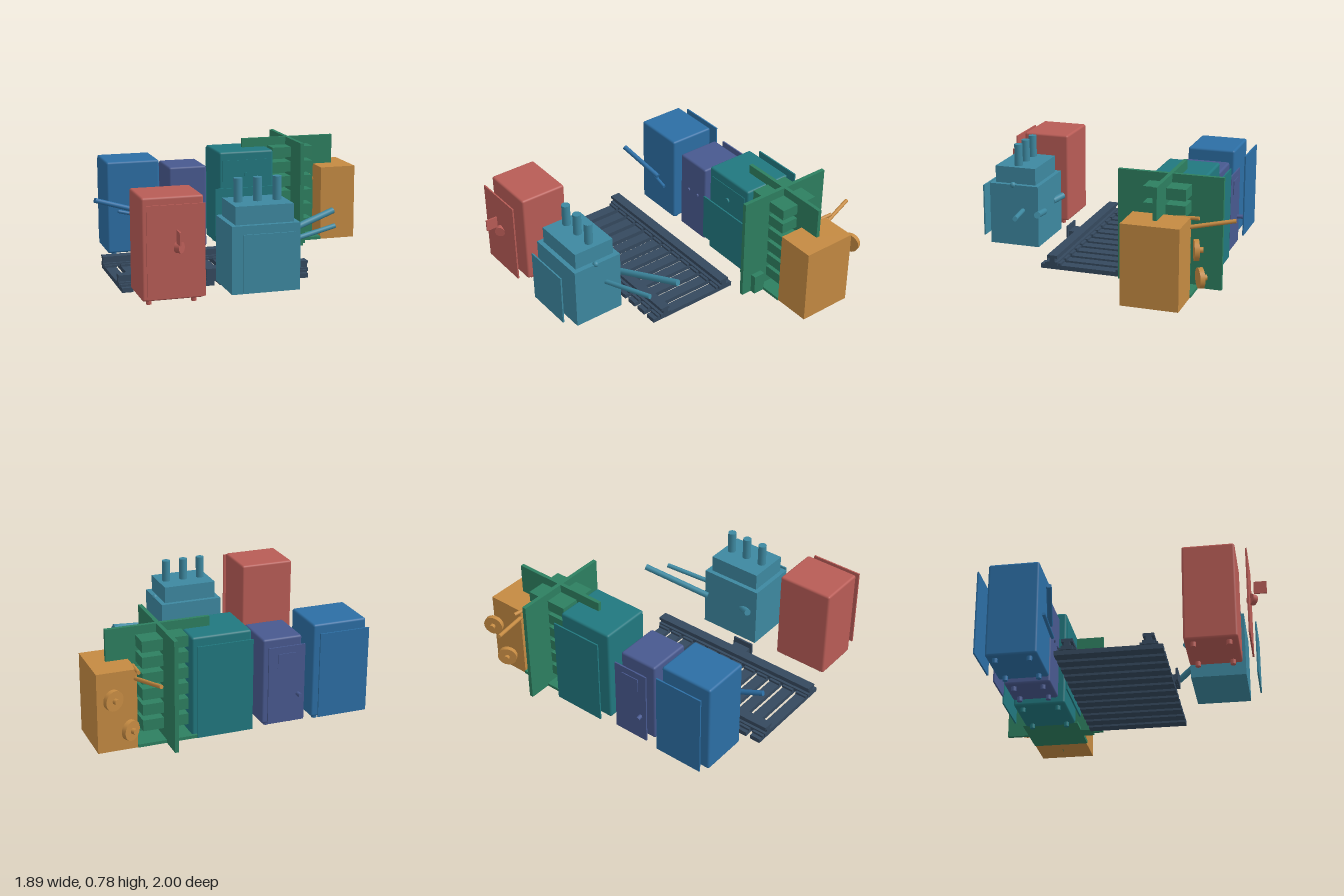
import * as THREE from 'three';
import { RoundedBoxGeometry } from 'three/addons/geometries/RoundedBoxGeometry.js';

const paint = (color) => new THREE.MeshStandardMaterial({ color });

function add(group, name, geometry, material) {
  const mesh = new THREE.Mesh(geometry, material);
  mesh.name = name;
  group.add(mesh);
  return mesh;
}

// Box given by its min/max on each axis; a radius rounds the edges
function box(group, name, m, [x0, x1], [y0, y1], [z0, z1], radius = 0) {
  const size = [x1 - x0, y1 - y0, z1 - z0];
  const g = radius ? new RoundedBoxGeometry(...size, 3, radius) : new THREE.BoxGeometry(...size);
  add(group, name, g, m).position.set((x0 + x1) / 2, (y0 + y1) / 2, (z0 + z1) / 2);
}

// Round bar between two points
function rod(group, name, m, a, b, r, sides = 20) {
  const p = new THREE.Vector3(...a), q = new THREE.Vector3(...b);
  const d = q.clone().sub(p);
  const mesh = add(group, name, new THREE.CylinderGeometry(r, r, d.length(), sides), m);
  mesh.position.copy(p).add(q).multiplyScalar(0.5);
  mesh.quaternion.setFromUnitVectors(new THREE.Vector3(0, 1, 0), d.normalize());
}

// Rounded cabinet body on four short round feet
function cabinet(root, name, m, x, y, z) {
  const g = new THREE.Group();
  g.name = name;
  root.add(g);
  box(g, 'cabinetBody', m, x, y, z, 0.015);
  for (const fx of [x[0] + 0.05, x[1] - 0.05])
    for (const fz of [z[0] + 0.055, z[1] - 0.055])
      rod(g, 'foot', m, [fx, 0.03, fz], [fx, y[0] + 0.01, fz], 0.017);
  return g;
}

function addRedCabinet(root) {
  const m = paint(0xb85c56);
  const g = cabinet(root, 'redCabinet', m, [-0.88, -0.5], [0.06, 0.69], [0.5, 0.825]);
  box(g, 'door', m, [-0.865, -0.51], [0.09, 0.655], [0.887, 0.897]);
  box(g, 'handlePlate', m, [-0.693, -0.683], [0.43, 0.51], [0.92, 1.0]);
  rod(g, 'dial', m, [-0.685, 0.4, 0.895], [-0.66, 0.4, 0.92], 0.034, 24);
}

function addBlueCabinet(root) {
  const m = paint(0x2c6ea4);
  const g = cabinet(root, 'blueCabinet', m, [-0.84, -0.475], [0.06, 0.69], [-0.715, -0.39]);
  box(g, 'door', m, [-0.825, -0.49], [0.09, 0.655], [-0.79, -0.78]);
  rod(g, 'longLever', m, [-0.94, 0.455, -0.303], [-0.62, 0.35, -0.36], 0.017);
  rod(g, 'shortLever', m, [-0.77, 0.355, -0.37], [-0.545, 0.3, -0.36], 0.012);
}

function addPurpleCabinet(root) {
  const m = paint(0x48598f);
  const g = cabinet(root, 'purpleCabinet', m, [-0.405, -0.14], [0.06, 0.63], [-0.7, -0.4]);
  box(g, 'door', m, [-0.395, -0.15], [0.09, 0.6], [-0.774, -0.764]);
  box(g, 'doorPanel', m, [-0.335, -0.21], [0.46, 0.555], [-0.78, -0.773]);
  rod(g, 'doorKnob', m, [-0.35, 0.27, -0.77], [-0.355, 0.27, -0.81], 0.014);
  for (const x of [-0.31, -0.215])
    rod(g, 'frontKnob', m, [x, 0.39, -0.405], [x, 0.39, -0.39], 0.012);
}

function addTealCabinet(root) {
  const m = paint(0x21787f);
  const g = cabinet(root, 'tealCabinet', m, [-0.055, 0.335], [0.06, 0.72], [-0.72, -0.375]);
  box(g, 'backDoor', m, [-0.035, 0.325], [0.09, 0.69], [-0.8, -0.79]);
  box(g, 'frontDoor', m, [-0.09, 0.385], [0.14, 0.47], [-0.362, -0.352]);
  box(g, 'upperPanel', m, [-0.03, 0.305], [0.48, 0.66], [-0.38, -0.371]);
  rod(g, 'panelKnob', m, [0.14, 0.555, -0.38], [0.14, 0.555, -0.36], 0.018);
}

function addTransformer(root) {
  const m = paint(0x3d88a0);
  const g = new THREE.Group();
  g.name = 'transformer';
  root.add(g);
  box(g, 'lowerTank', m, [-0.328, 0.107], [0.06, 0.483], [0.487, 0.835]);
  box(g, 'upperTank', m, [-0.297, 0.073], [0.483, 0.597], [0.518, 0.805]);
  box(g, 'door', m, [-0.28, 0.055], [0.09, 0.445], [0.9, 0.91]);
  for (const x of [-0.238, -0.112, 0.014])
    rod(g, 'bushing', m, [x, 0.58, 0.66], [x, 0.745, 0.66], 0.028);
  rod(g, 'upperBar', m, [0.065, 0.305, 0.46], [0.51, 0.425, 0.33], 0.021);
  rod(g, 'lowerBar', m, [0.1, 0.308, 0.6], [0.455, 0.365, 0.508], 0.016);
  rod(g, 'rearSpout', m, [-0.2, 0.3, 0.5], [-0.28, 0.32, 0.455], 0.023);
  add(g, 'sideKnob', new THREE.SphereGeometry(0.02, 16, 12), m).position.set(0.098, 0.48, 0.67);
}

function addTrack(root) {
  const m = paint(0x35495e);
  const g = new THREE.Group();
  g.name = 'track';
  root.add(g);
  const rails = [-0.19, 0.3];
  for (let i = 0; i < 12; i++) {
    const x = -0.873 + i * 0.1055;
    box(g, 'sleeper', m, [x - 0.036, x + 0.036], [0, 0.03], [-0.27, 0.385]);
    for (const z of rails)
      box(g, 'railChair', m, [x - 0.04, x + 0.04], [0.03, 0.045], [z - 0.055, z + 0.055]);
  }
  // I-shaped rails
  for (const z of rails) {
    box(g, 'railFoot', m, [-0.92, 0.34], [0.03, 0.055], [z - 0.037, z + 0.037]);
    box(g, 'railWeb', m, [-0.92, 0.34], [0.05, 0.085], [z - 0.018, z + 0.018]);
    box(g, 'railHead', m, [-0.92, 0.34], [0.08, 0.1], [z - 0.034, z + 0.034]);
  }
  box(g, 'trackBoxPlate', m, [-0.365, -0.215], [0.035, 0.117], [0.395, 0.408]);
  box(g, 'trackBox', m, [-0.35, -0.23], [0.03, 0.08], [0.345, 0.396]);
}

function addCrossedRack(root) {
  const m = paint(0x2d7f60);
  const g = new THREE.Group();
  g.name = 'crossedRack';
  root.add(g);
  box(g, 'widePlate', m, [0.16, 0.83], [0.06, 0.782], [-0.56, -0.535]);
  box(g, 'deepPlate', m, [0.48, 0.506], [0.06, 0.782], [-0.885, -0.213]);
  box(g, 'basePlate', m, [0.305, 0.69], [0.06, 0.08], [-0.738, -0.36]);
  box(g, 'frontBlock', m, [0.44, 0.545], [0.06, 0.195], [-0.365, -0.285]);
  for (let i = 0; i < 6; i++) {
    const y = 0.173 + i * 0.1035;
    box(g, 'rackBlock', m, [0.345, 0.64], [y - 0.036, y + 0.036], [-0.685, -0.415]);
  }
}

function addOrangeBox(root) {
  const m = paint(0xc48a42);
  const g = new THREE.Group();
  g.name = 'leverBox';
  root.add(g);
  box(g, 'boxBody', m, [0.69, 0.943], [0.06, 0.577], [-0.733, -0.367]);
  rod(g, 'lever', m, [0.625, 0.56, -0.995], [0.7, 0.515, -0.72], 0.013);
  rod(g, 'leverPivot', m, [0.695, 0.575, -0.785], [0.685, 0.565, -0.64], 0.012);
  rod(g, 'sideStud', m, [0.645, 0.49, -0.42], [0.645, 0.51, -0.5], 0.008);
  // Two tilted hand wheels with hubs
  for (const [x, y, angle] of [[0.76, 0.225, 0.53], [0.863, 0.435, 0.36]]) {
    const along = (t) => [x - Math.sin(angle) * t, y, -0.815 - Math.cos(angle) * t];
    rod(g, 'handWheel', m, along(-0.015), along(0.015), 0.064, 24);
    rod(g, 'wheelHub', m, along(0.01), along(0.04), 0.018, 16);
  }
}

export function createModel() {
  const root = new THREE.Group();
  root.name = 'railwayEquipment';
  addRedCabinet(root);
  addBlueCabinet(root);
  addPurpleCabinet(root);
  addTealCabinet(root);
  addTransformer(root);
  addTrack(root);
  addCrossedRack(root);
  addOrangeBox(root);
  return root;
}
